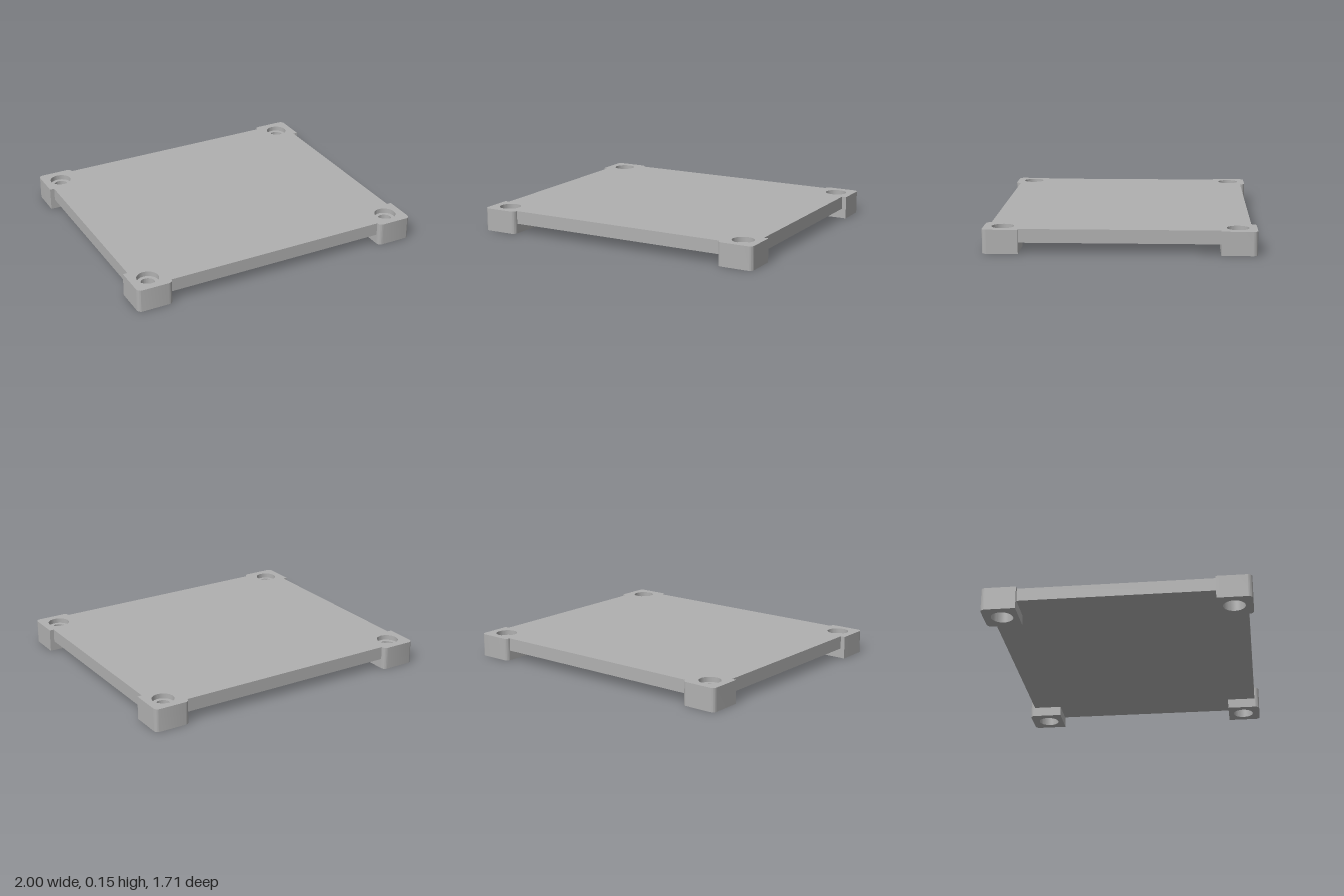
import * as THREE from 'three';
import { toCreasedNormals } from 'three/addons/utils/BufferGeometryUtils.js';

const TOP = 0.153, PLATE_BOTTOM = 0.066;
const OUT_X = 1, OUT_Z = 0.857, IN_X = 0.76, IN_Z = 0.63; // corner block extents
const PLATE_X = 0.97, PLATE_Z = 0.825;
const HOLE_X = 0.88, HOLE_Z = 0.737, BORE = 0.071, HOLE = 0.045;

// Extrude a plan outline upward from y0 to y1
function slab(shape, y0, y1) {
  const g = new THREE.ExtrudeGeometry(shape, { depth: y1 - y0, bevelEnabled: false, curveSegments: 24 });
  g.rotateX(-Math.PI / 2);
  g.translate(0, y0, 0);
  return toCreasedNormals(g, 0.5);
}

function circle(target, x, y, r) {
  target.absarc(x, y, r, 0, Math.PI * 2, false);
  return target;
}

// Corner block outline: its two corners on the long outer edge are rounded
function blockShape(sx, sz) {
  const r = 0.03, k = r * 0.45;
  const s = new THREE.Shape();
  const X = (v) => v * sx, Y = (v) => v * sz;
  s.moveTo(X(IN_X), Y(IN_Z));
  s.lineTo(X(OUT_X), Y(IN_Z));
  s.lineTo(X(OUT_X), Y(OUT_Z - r));
  s.bezierCurveTo(X(OUT_X), Y(OUT_Z - k), X(OUT_X - k), Y(OUT_Z), X(OUT_X - r), Y(OUT_Z));
  s.lineTo(X(IN_X + r), Y(OUT_Z));
  s.bezierCurveTo(X(IN_X + k), Y(OUT_Z), X(IN_X), Y(OUT_Z - k), X(IN_X), Y(OUT_Z - r));
  s.closePath();
  s.holes.push(circle(new THREE.Path(), X(HOLE_X), Y(HOLE_Z), BORE));
  return s;
}

export function createModel() {
  const grey = new THREE.MeshStandardMaterial({ color: 0xb0b0b0 });
  grey.name = 'grey';
  const model = new THREE.Group();
  model.name = 'mountingPlate';

  const add = (name, geometry) => {
    const mesh = new THREE.Mesh(geometry, grey);
    mesh.name = name;
    model.add(mesh);
  };

  // Plate, notched where the corner blocks sit
  const plate = new THREE.Shape([
    [IN_X, -PLATE_Z], [IN_X, -IN_Z], [PLATE_X, -IN_Z], [PLATE_X, IN_Z], [IN_X, IN_Z], [IN_X, PLATE_Z],
    [-IN_X, PLATE_Z], [-IN_X, IN_Z], [-PLATE_X, IN_Z], [-PLATE_X, -IN_Z], [-IN_X, -IN_Z], [-IN_X, -PLATE_Z],
  ].map(([x, y]) => new THREE.Vector2(x, y)));
  add('plate', slab(plate, PLATE_BOTTOM, TOP));

  for (const sx of [-1, 1]) {
    for (const sz of [-1, 1]) {
      const side = (sz < 0 ? 'front' : 'back') + (sx > 0 ? 'Left' : 'Right');
      add(side + 'Block', slab(blockShape(sx, sz), 0, TOP));

      // Ledge that narrows the screw hole inside the bore
      const ledge = circle(new THREE.Shape(), sx * HOLE_X, sz * HOLE_Z, BORE);
      ledge.holes.push(circle(new THREE.Path(), sx * HOLE_X, sz * HOLE_Z, HOLE));
      add(side + 'ScrewLedge', slab(ledge, 0.085, 0.12));
    }
  }
  return model;
}
